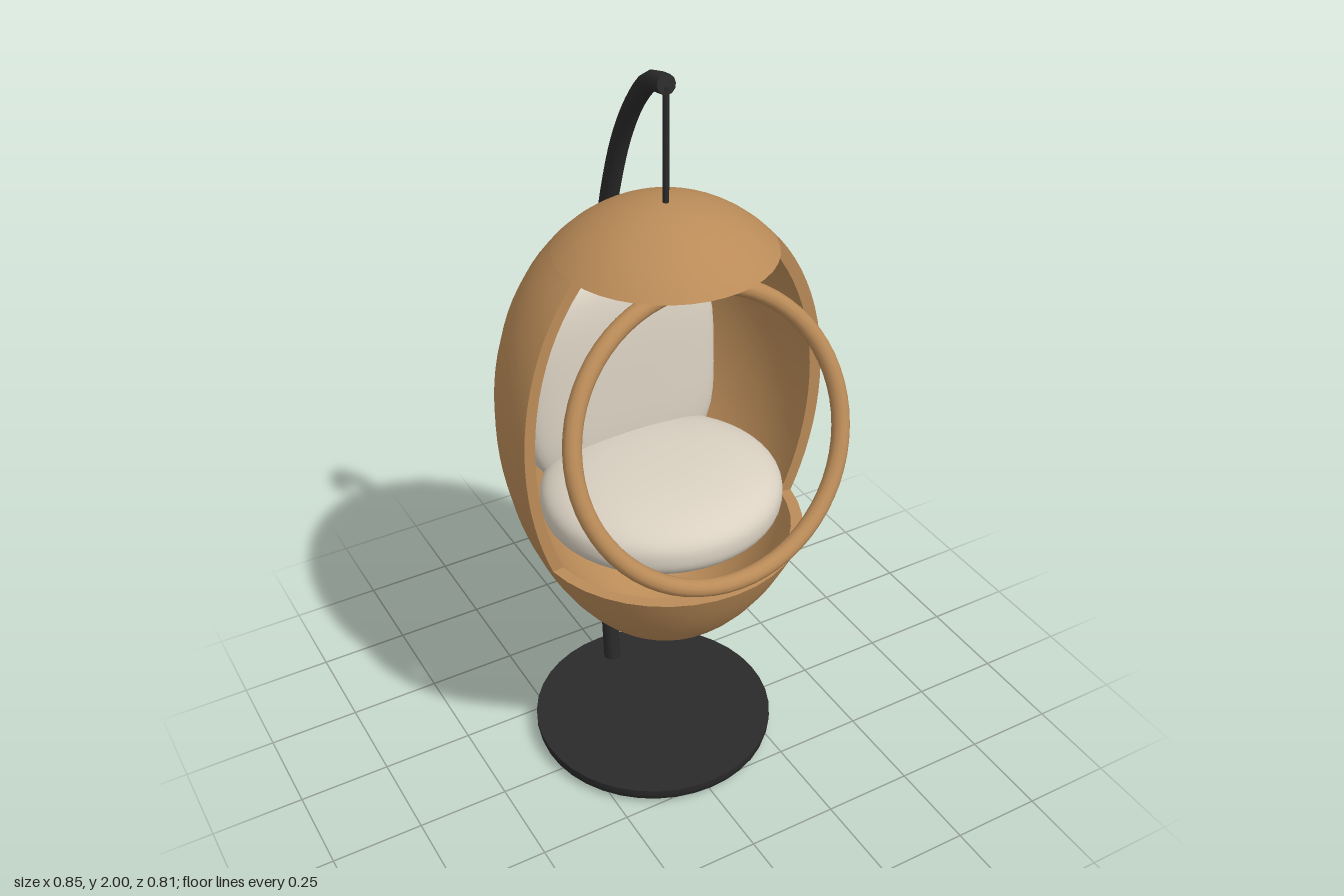
import * as THREE from 'three';
import { mergeVertices } from 'three/addons/utils/BufferGeometryUtils.js';

const wood = new THREE.MeshStandardMaterial({ color: 0xba8b58 });
wood.name = 'honey wicker';
const fabric = new THREE.MeshStandardMaterial({ color: 0xd9d0c1 });
fabric.name = 'cream fabric';
const metal = new THREE.MeshStandardMaterial({ color: 0x2a2a2a });
metal.name = 'black metal';

// Egg outline
const MID = 1.065, HALF = 0.625, RADIUS = 0.423, WALL = 0.03, AXIS_Z = 0.02;
const CUT_LOW = 0.78, CUT_HIGH = 1.57;
const SIDE = THREE.MathUtils.degToRad(9); // the opening stops this far in front of the sides

// Profile of the egg between two heights, shrunk by an inset, listed upwards
function eggProfile(y0, y1, inset, steps = 20) {
  const h = HALF - inset;
  const angle = (y) => Math.acos(THREE.MathUtils.clamp((y - MID) / h, -1, 1));
  const a0 = angle(y0), a1 = angle(y1);
  const points = [];
  for (let i = 0; i <= steps; i++) {
    const t = a0 + ((a1 - a0) * i) / steps;
    const r = (RADIUS - inset) * Math.sin(t) * (1 + 0.1 * Math.cos(t));
    points.push(new THREE.Vector2(Math.max(r, 0), MID + h * Math.cos(t)));
  }
  return points;
}

function add(parent, name, geometry, material) {
  const mesh = new THREE.Mesh(geometry, material);
  mesh.name = name;
  parent.add(mesh);
  return mesh;
}

// Sphere pushed out to a cushion: n squares the outline, m squares the edge towards the flat axis
function cushion(flatAxis, size, n, m) {
  let g = new THREE.SphereGeometry(1, 48, 32);
  if (flatAxis === 'z') g.rotateX(Math.PI / 2);
  g.deleteAttribute('uv');
  g.deleteAttribute('normal');
  const p = g.attributes.position;
  for (let i = 0; i < p.count; i++) {
    const v = new THREE.Vector3().fromBufferAttribute(p, i);
    const a = Math.abs(v.x), b = Math.abs(flatAxis === 'z' ? v.y : v.z), c = Math.abs(v[flatAxis]);
    const outline = Math.pow(Math.pow(a, n) + Math.pow(b, n), 1 / n);
    v.divideScalar(Math.pow(Math.pow(outline, m) + Math.pow(c, m), 1 / m));
    p.setXYZ(i, v.x * size[0], v.y * size[1], v.z * size[2]);
  }
  g = mergeVertices(g, 1e-5);
  g.computeVertexNormals();
  return g;
}

function buildShell() {
  const shell = new THREE.Group();
  shell.name = 'eggShell';
  shell.position.z = AXIS_Z;
  const bottom = MID - HALF, top = MID + HALF;
  const full = [0, Math.PI * 2, 40];
  const back = [Math.PI / 2 - SIDE, Math.PI + 2 * SIDE, 22];
  const bands = [
    ['lowerBowl', bottom, CUT_LOW, full],
    ['backWall', CUT_LOW, CUT_HIGH, back],
    ['topCap', CUT_HIGH, top, full],
  ];
  for (const [name, y0, y1, [start, length, segments]] of bands) {
    const outer = eggProfile(y0, y1, 0);
    const inner = eggProfile(y0, y1, WALL).reverse();
    const spin = (pts) => new THREE.LatheGeometry(pts, segments, start, length);
    add(shell, name + 'Outside', spin(outer), wood);
    add(shell, name + 'Inside', spin(inner), wood);
    // Flat rims where the bands meet the opening
    if (name === 'lowerBowl') add(shell, 'lowerRim', spin([outer[outer.length - 1], inner[0]]), wood);
    if (name === 'topCap') add(shell, 'upperRim', spin([inner[inner.length - 1], outer[0]]), wood);
    // Upright edges on both sides of the opening
    if (name === 'backWall') {
      for (const s of [1, -1]) {
        const outline = [...outer, ...inner].map((q) => new THREE.Vector2(s * q.x, q.y));
        const edge = new THREE.ShapeGeometry(new THREE.Shape(outline));
        add(shell, s > 0 ? 'leftEdge' : 'rightEdge', edge, wood).rotation.y = -s * SIDE;
      }
    }
  }
  return shell;
}

function buildStand() {
  const stand = new THREE.Group();
  stand.name = 'stand';

  // Round foot with a softened lower edge
  const foot = [[0, 0], [0.305, 0], [0.322, 0.006], [0.333, 0.018], [0.337, 0.035], [0.337, 0.05]];
  const footPoints = foot.map(([x, y]) => new THREE.Vector2(x, y));
  add(stand, 'footDisc', new THREE.LatheGeometry(footPoints, 40), metal).position.z = -0.05;
  const footTop = add(stand, 'footTop', new THREE.CircleGeometry(0.337, 40), metal);
  footTop.rotation.x = -Math.PI / 2;
  footTop.position.set(0, 0.05, -0.05);

  // Bent pole passing behind and over the egg
  const path = [
    [0.03, -0.3], [0.44, -0.327], [0.81, -0.34], [1.2, -0.33], [1.5, -0.282], [1.63, -0.247],
    [1.78, -0.187], [1.9, -0.11], [1.96, -0.045], [1.974, 0.022],
  ];
  const curve = new THREE.CatmullRomCurve3(path.map(([y, z]) => new THREE.Vector3(0, y, z)));
  add(stand, 'pole', new THREE.TubeGeometry(curve, 64, 0.024, 12), metal);
  const end = add(stand, 'poleEnd', new THREE.CircleGeometry(0.024, 12), metal);
  end.position.copy(curve.getPoint(1));
  end.lookAt(end.position.clone().add(curve.getTangent(1)));

  // Thin rod holding the egg
  const rod = add(stand, 'hangingRod', new THREE.CylinderGeometry(0.008, 0.008, 0.29, 10), metal);
  rod.position.set(0, 1.825, AXIS_Z);
  return stand;
}

export function createModel() {
  const model = new THREE.Group();
  model.name = 'hangingEggChair';
  model.add(buildShell(), buildStand());

  // Leaning hoop in front of the opening
  const hoop = add(model, 'frontHoop', new THREE.TorusGeometry(0.365, 0.023, 12, 64), wood);
  hoop.position.set(0, 1.166, 0.244);
  hoop.rotation.x = -0.385;

  // Cushions
  const seat = add(model, 'seatCushion', cushion('y', [0.318, 0.1, 0.305], 2, 2.6), fabric);
  seat.position.set(0, 0.86, 0);
  const backrest = add(model, 'backCushion', cushion('z', [0.28, 0.3, 0.075], 3.5, 3.5), fabric);
  backrest.position.set(0, 1.1, -0.235);
  backrest.rotation.x = -0.05;
  return model;
}
